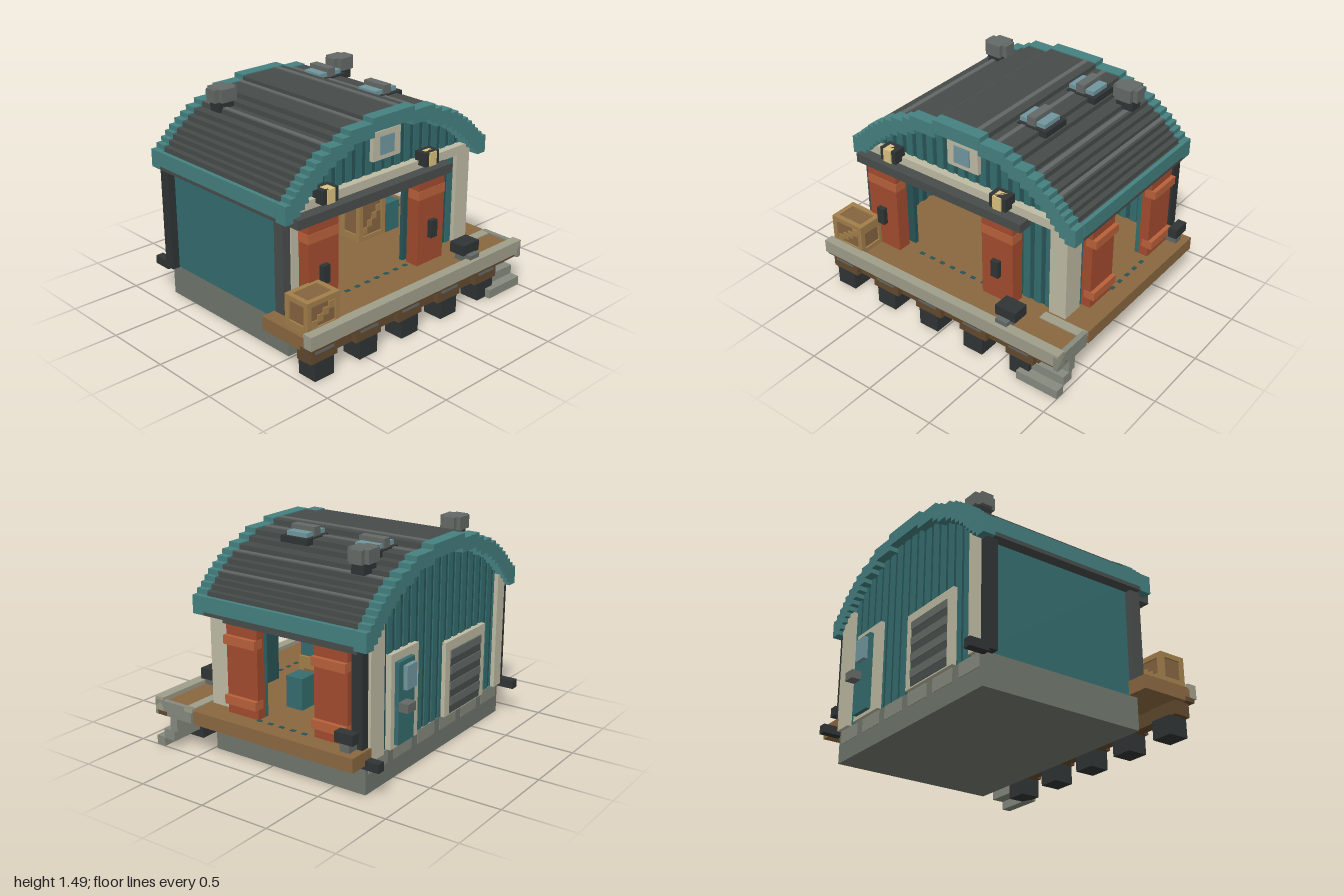
import * as THREE from 'three';

const C = {
  teal: 0x356d6f, tealDark: 0x285457, trim: 0x458080, roof: 0x474c4a, rib: 0x626866, cream: 0xbfbba4,
  red: 0xa34b2e, redLight: 0xb9613a, deck: 0x8a6840, wood: 0x624a2f, crate: 0xa37f4b, crateDark: 0x856440,
  dark: 0x303434, iron: 0x484d4b, grey: 0x646a67, stone: 0x9f9e8a, base: 0x70766d, baseLight: 0x868a7e,
  glass: 0x71979f, lamp: 0xdbc27f,
};
const mats = {};
const mat = (c) => (mats[c] ??= new THREE.MeshStandardMaterial({ color: C[c], flatShading: true }));

export function createModel() {
  const root = new THREE.Group();
  const add = (name, c, geo) => {
    const m = new THREE.Mesh(geo, mat(c));
    m.name = name;
    root.add(m);
    return m;
  };
  // Box given by its limits on each axis
  const box = (name, c, x0, x1, y0, y1, z0, z1) =>
    add(name, c, new THREE.BoxGeometry(x1 - x0, y1 - y0, z1 - z0))
      .position.set((x0 + x1) / 2, (y0 + y1) / 2, (z0 + z1) / 2);
  const extrude = (name, c, pts, z0, z1) =>
    add(name, c, new THREE.ExtrudeGeometry(new THREE.Shape(pts), { depth: z1 - z0, bevelEnabled: false }))
      .position.z = z0;

  // Stepped arch profile shared by roof and gables
  const CX = -0.015;
  const half = [0.19, 0.385, 0.45, 0.55, 0.62, 0.67, 0.72, 0.765, 0.8, 0.835, 0.875, 0.92];
  const top = (i) => 1.465 - i * 0.0345;
  const arch = (k, drop, foot) => {
    const right = [];
    half.forEach((h, i) => {
      if (i) right.push([half[i - 1] * k, top(i) - drop]);
      right.push([h * k, top(i) - drop]);
    });
    right.push([half.at(-1) * k, foot]);
    const left = right.map(([x, y]) => [-x, y]).reverse();
    return [...left, ...right].map(([x, y]) => new THREE.Vector2(x + CX, y));
  };
  const outerTop = (x) => top(half.findIndex((h) => Math.abs(x - CX) <= h));

  // Stone foundation with lighter blocks
  box('foundation', 'base', -0.85, 0.82, 0, 0.225, -0.73, 0.48);
  for (let i = 0; i < 6; i++) {
    const x = -0.82 + i * 0.28;
    box('foundationBlock', 'baseLight', x, x + 0.21, 0.13, 0.225, -0.734, -0.72);
    box('foundationBlock', 'baseLight', x + 0.1, x + 0.17, 0.04, 0.16, 0.47, 0.51);
  }

  // Timber platform round the front and right side
  box('frontDeck', 'deck', -1, 0.97, 0.225, 0.32, 0.41, 0.8);
  box('sideDeck', 'deck', 0.8, 1, 0.225, 0.32, -0.76, 0.52);
  box('interiorFloor', 'deck', -0.84, 0.81, 0.22, 0.32, -0.7, 0.45);
  box('deckEdge', 'stone', -1, 1, 0.255, 0.35, 0.79, 0.86);
  box('deckBeam', 'wood', -1, 1, 0.225, 0.255, 0.76, 0.84);
  box('underBeam', 'wood', -0.97, 0.8, 0.13, 0.23, 0.7, 0.78);
  box('cornerSlab', 'stone', 0.67, 1, 0.3, 0.328, 0.53, 0.6);
  for (let x = -0.4; x < 0.2; x += 0.09) box('floorTrack', 'tealDark', x, x + 0.035, 0.31, 0.324, 0.52, 0.545);
  for (let z = -0.32; z < 0.06; z += 0.09) box('sideFloorTrack', 'tealDark', 0.86, 0.885, 0.31, 0.324, z, z + 0.035);
  for (let i = 0; i < 5; i++) {
    const x = -0.855 + i * 0.382;
    box('footing', 'dark', x - 0.078, x + 0.078, 0, 0.13, 0.67, 0.82);
    box('post', 'wood', x - 0.11, x + 0.11, 0.13, 0.23, 0.69, 0.82);
    box('postBracket', 'grey', x - 0.075, x + 0.075, 0.195, 0.226, 0.8, 0.83);
  }

  // Corner steps at the right front
  box('bottomStep', 'baseLight', 0.68, 1, 0, 0.065, 0.79, 0.86);
  box('middleStep', 'baseLight', 0.75, 1, 0.06, 0.13, 0.7, 0.79);
  box('upperStep', 'baseLight', 0.82, 1, 0.13, 0.26, 0.67, 0.73);
  box('stepTop', 'baseLight', 0.965, 1, 0.225, 0.33, 0.54, 0.86);

  // Walls, leaving the front and right doorways open
  box('leftWall', 'teal', -0.85, -0.815, 0.225, 1.05, -0.72, 0.46);
  box('backWall', 'tealDark', -0.85, 0.8, 0.225, 1.06, -0.72, -0.69);
  box('frontWallLeft', 'tealDark', -0.84, -0.5, 0.32, 1, 0.44, 0.47);
  box('frontWallRight', 'tealDark', 0.2, 0.7, 0.32, 1, 0.44, 0.47);
  box('sideWallFront', 'teal', 0.77, 0.8, 0.32, 1, 0.07, 0.38);
  box('sideWallBack', 'teal', 0.77, 0.8, 0.32, 1, -0.7, -0.38);
  box('sideLintel', 'iron', 0.76, 0.83, 0.93, 1.03, -0.7, 0.4);
  extrude('frontGable', 'tealDark', arch(0.94, 0.045, 1), 0.44, 0.47);
  extrude('backGable', 'tealDark', arch(0.94, 0.045, 1), -0.72, -0.69);
  for (let x = -0.79; x < 0.75; x += 0.0885) {
    const y = Math.min(outerTop(x), outerTop(x + 0.052)) - 0.04;
    box('frontRib', 'teal', x, x + 0.052, 1.04, y, 0.43, 0.479);
    box('backRib', 'teal', x, x + 0.052, 0.225, y, -0.73, -0.68);
    if (x > 0.4 && x < 0.66) box('frontWallRib', 'teal', x, x + 0.052, 0.32, 1, 0.43, 0.479);
  }
  for (let z = -0.64; z < 0.4; z += 0.091) box('leftWallInnerRib', 'tealDark', -0.84, -0.805, 0.32, 1.03, z, z + 0.045);

  // Corner posts and front lintel
  box('frontRightPost', 'cream', 0.68, 0.81, 0.32, 1.05, 0.35, 0.51);
  box('frontLeftPost', 'cream', -0.84, -0.78, 0.32, 1.05, 0.4, 0.51);
  box('frontLeftCorner', 'iron', -0.9, -0.84, 0.225, 0.98, 0.42, 0.5);
  box('backPost', 'cream', 0.665, 0.81, 0.225, 1.08, -0.76, -0.63);
  box('backPost', 'cream', -0.84, -0.745, 0.225, 1.06, -0.76, -0.66);
  box('lintel', 'cream', -0.84, 0.81, 0.985, 1.05, 0.43, 0.53);
  box('frontRail', 'iron', -0.87, 0.52, 0.925, 0.99, 0.5, 0.61);
  box('sideRail', 'iron', 0.8, 0.87, 0.925, 0.97, -0.7, 0.35);

  // Downpipes at the back corners
  [-0.875, 0.84].forEach((x) => {
    box('downpipe', 'dark', x - 0.03, x + 0.03, 0.22, 0.97, -0.74, -0.66);
    box('downpipeOutlet', 'dark', x - 0.03, x + 0.03, 0.2, 0.26, -0.86, -0.72);
  });

  // Red sliding doors
  [[-0.78, -0.69], [0.205, 0.3]].forEach(([x, h]) => {
    box('frontDoor', 'red', x, x + 0.25, 0.32, 0.925, 0.5, 0.6);
    box('frontDoorBand', 'redLight', x - 0.003, x + 0.253, 0.8, 0.865, 0.51, 0.604);
    box('doorHandle', 'dark', h, h + 0.06, 0.51, 0.635, 0.59, 0.635);
  });
  [0.07, -0.63].forEach((z) => {
    box('sideDoor', 'red', 0.8, 0.87, 0.32, 0.925, z, z + 0.25);
    [0.39, 0.8].forEach((y) => box('sideDoorBand', 'redLight', 0.82, 0.9, y, y + 0.06, z - 0.003, z + 0.253));
  });

  // Gable window and lamps
  box('windowFrame', 'cream', -0.14, 0.11, 1.14, 1.335, 0.47, 0.51);
  box('windowPane', 'glass', -0.08, 0.045, 1.175, 1.3, 0.5, 0.52);
  [-0.59, 0.33].forEach((x) => {
    box('lampHousing', 'dark', x - 0.065, x + 0.065, 1.02, 1.115, 0.5, 0.595);
    box('lampGlow', 'lamp', x - 0.032, x + 0.032, 1.02, 1.115, 0.53, 0.605);
  });

  // Back door and roller shutter
  box('backDoorFrame', 'cream', 0.28, 0.59, 0.225, 0.855, -0.76, -0.72);
  box('backDoor', 'teal', 0.37, 0.55, 0.25, 0.8, -0.79, -0.74);
  box('backDoorWindow', 'glass', 0.39, 0.5, 0.61, 0.77, -0.82, -0.77);
  box('backDoorBox', 'grey', 0.46, 0.55, 0.48, 0.54, -0.86, -0.76);
  box('shutterFrame', 'cream', -0.58, -0.06, 0.225, 0.75, -0.76, -0.72);
  for (let i = 0; i < 8; i++) {
    const y = 0.235 + i * 0.056;
    box('shutterSlat', i % 2 ? 'grey' : 'iron', -0.52, -0.12, y, y + 0.056, i % 2 ? -0.77 : -0.764, -0.74);
  }

  // Arched roof with end trims, eaves and ribs
  const shell = (drop) => [...arch(1, drop, 0.96), ...arch(0.915, 0.095, 0.96).reverse()];
  extrude('roof', 'roof', shell(0.008), -0.7, 0.48);
  extrude('frontRoofTrim', 'trim', shell(0), 0.48, 0.57);
  extrude('backRoofTrim', 'trim', shell(0), -0.79, -0.7);
  [-1, 1].forEach((s) => {
    const x = CX + s * 0.908;
    box('eave', 'trim', x - 0.015, x + 0.015, 0.985, 1.088, -0.7, 0.48);
  });
  [-0.54, -0.22, 0.1, 0.25, 0.57, 0.72].forEach((x) => {
    const y = Math.min(outerTop(x - 0.012), outerTop(x + 0.012));
    box('roofRib', 'rib', x - 0.017, x + 0.017, y - 0.05, y, -0.7, 0.48);
  });

  // Roof vents and skylights
  [-0.525, 0.555].forEach((x) => {
    box('ventCap', 'grey', x - 0.093, x + 0.093, 1.4, 1.49, -0.575, -0.485);
    box('ventCap', 'grey', x - 0.06, x + 0.06, 1.402, 1.492, -0.605, -0.45);
    box('ventNeck', 'dark', x - 0.065, x + 0.065, 1.33, 1.405, -0.575, -0.48);
  });
  [-0.43, 0.11].forEach((z) => {
    box('skylightFrame', 'dark', 0.2, 0.425, 1.36, 1.432, z - 0.11, z + 0.11);
    box('skylightGlass', 'glass', 0.2, 0.395, 1.42, 1.462, z - 0.08, z + 0.08);
    box('skylightBar', 'grey', 0.265, 0.33, 1.42, 1.493, z - 0.095, z + 0.095);
  });

  // Crates: body, edge frame and stepped diagonal brace
  const crate = (x0, x1, y0, y1, z0, z1) => {
    const e = 0.012, w = 0.035;
    box('crate', 'crateDark', x0 + e, x1 - e, y0, y1 - e, z0 + e, z1 - e);
    [x0, x1 - w].forEach((x) => {
      [z0, z1 - w].forEach((z) => box('crateUpright', 'crate', x, x + w, y0, y1, z, z + w));
      [y0, y1 - w].forEach((y) => box('crateRail', 'crate', x, x + w, y, y + w, z0, z1));
    });
    [z0, z1 - w].forEach((z) => [y0, y1 - w].forEach((y) => box('crateRail', 'crate', x0, x1, y, y + w, z, z + w)));
    for (let i = 0; i < 6; i++) {
      const dx = (x1 - x0) / 6, dy = (y1 - y0 - w) / 6;
      box('crateBrace', 'crate', x0 + i * dx, x0 + (i + 1) * dx, y0 + i * dy, y0 + i * dy + 0.05, z0 + 0.004, z1 - 0.004);
    }
  };
  crate(-0.97, -0.7, 0.32, 0.54, 0.59, 0.795);
  crate(-0.6, -0.34, 0.32, 0.64, -0.38, -0.12);
  crate(-0.56, -0.37, 0.64, 0.83, -0.25, -0.04);
  crate(0.18, 0.44, 0.32, 0.64, -0.12, 0.07);
  box('storageBox', 'teal', 0.44, 0.58, 0.32, 0.54, -0.06, 0.07);
  box('storageBox', 'teal', 0.22, 0.42, 0.64, 0.83, -0.09, 0.07);

  // Bollards on the platform
  box('bollardBase', 'grey', 0.49, 0.58, 0.31, 0.38, 0.69, 0.83);
  box('bollardHead', 'dark', 0.46, 0.62, 0.375, 0.45, 0.67, 0.79);
  box('sideBollardBase', 'grey', 0.87, 0.95, 0.31, 0.385, -0.7, -0.63);
  box('sideBollardHead', 'dark', 0.9, 0.965, 0.38, 0.45, -0.735, -0.6);
  return root;
}
